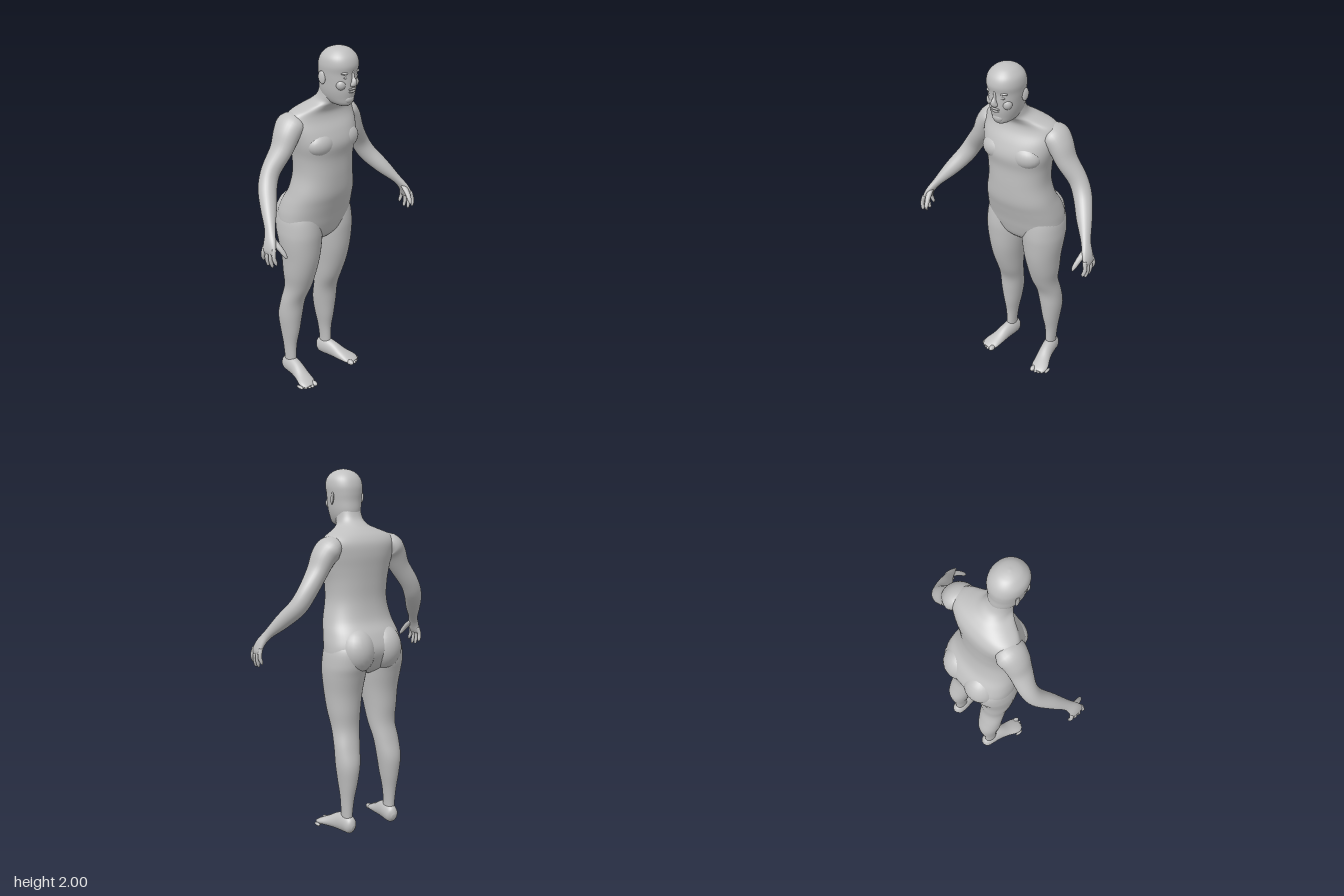
import * as THREE from 'three';

// Catmull-Rom refinement of rows of numbers
function refine(rows, steps) {
  const out = [], n = rows.length;
  for (let i = 0; i < n - 1; i++) {
    const [a, b, c, d] = [rows[Math.max(i - 1, 0)], rows[i], rows[i + 1], rows[Math.min(i + 2, n - 1)]];
    for (let s = 0; s < steps; s++) {
      const t = s / steps;
      out.push(b.map((_, k) => b[k] + 0.5 * t * (c[k] - a[k] + t * (2 * a[k] - 5 * b[k] + 4 * c[k] - d[k]
        + t * (3 * (b[k] - c[k]) + d[k] - a[k])))));
    }
  }
  out.push(rows[n - 1]);
  return out;
}

// Closed smooth skin over a list of rings of points
function skin(rings) {
  const m = rings[0].length, pos = [], idx = [];
  rings.forEach(r => r.forEach(p => pos.push(p.x, Math.max(p.y, 0), p.z)));
  for (let i = 0; i < rings.length - 1; i++) {
    for (let j = 0; j < m; j++) {
      const a = i * m + j, b = i * m + (j + 1) % m;
      idx.push(a, a + m, b, b, a + m, b + m);
    }
  }
  [0, rings.length - 1].forEach((r, end) => {
    const c = new THREE.Vector3();
    rings[r].forEach(p => c.addScaledVector(p, 1 / m));
    const ci = pos.length / 3;
    pos.push(c.x, Math.max(c.y, 0), c.z);
    for (let j = 0; j < m; j++) {
      const a = r * m + j, b = r * m + (j + 1) % m;
      if (end) idx.push(ci, b, a); else idx.push(ci, a, b);
    }
  });
  const g = new THREE.BufferGeometry();
  g.setAttribute('position', new THREE.Float32BufferAttribute(pos, 3));
  g.setIndex(idx);
  g.computeVertexNormals();
  return g;
}

// Upright loft, bottom to top; rows: [y, centre x, half width, front z, back z]
function column(rows, power = 2, m = 40) {
  const sup = v => Math.sign(v) * Math.pow(Math.abs(v), 2 / power);
  return skin(refine(rows, 5).map(([y, cx, hw, zf, zb]) => Array.from({ length: m }, (_, j) => {
    const a = j / m * Math.PI * 2;
    return new THREE.Vector3(cx + hw * sup(Math.cos(a)), y, (zf + zb) / 2 + (zf - zb) / 2 * sup(Math.sin(a)));
  })));
}

// Loft along a path; rows: [x, y, z, radius along ref, radius across]
function limb(rows, ref, m = 24, steps = 5) {
  const r = refine(rows, steps), P = r.map(q => new THREE.Vector3(q[0], q[1], q[2]));
  return skin(r.map((q, i) => {
    const t = P[Math.min(i + 1, P.length - 1)].clone().sub(P[Math.max(i - 1, 0)]).normalize();
    const v = ref.clone().cross(t).normalize(), u = t.clone().cross(v);
    return Array.from({ length: m }, (_, j) => {
      const a = j / m * Math.PI * 2;
      return P[i].clone().addScaledVector(u, q[3] * Math.cos(a)).addScaledVector(v, q[4] * Math.sin(a));
    });
  }));
}

function blob(x, y, z, rx, ry, rz) {
  return new THREE.SphereGeometry(1, 24, 16).scale(rx, ry, rz).translate(x, y, z);
}

function mirrored(geo) {
  const g = geo.clone().scale(-1, 1, 1), ix = g.index.array;
  for (let i = 0; i < ix.length; i += 3) [ix[i], ix[i + 1]] = [ix[i + 1], ix[i]];
  return g;
}

export function createModel() {
  const body = new THREE.Group();
  body.name = 'humanFigure';
  const skinGrey = new THREE.MeshStandardMaterial({ color: 0xc0c0c0 });
  skinGrey.name = 'skinGrey';
  const X = new THREE.Vector3(1, 0, 0), Z = new THREE.Vector3(0, 0, 1);
  const add = (name, geo) => {
    const mesh = new THREE.Mesh(geo, skinGrey);
    mesh.name = name;
    body.add(mesh);
  };
  const pair = (name, geo) => {
    add('left' + name, geo);
    add('right' + name, mirrored(geo));
  };

  // Torso running up into the neck
  add('torso', column([
    [0.90, 0, 0.06, 0.02, -0.12], [0.94, 0, 0.16, 0.055, -0.18], [1.0, 0, 0.222, 0.075, -0.215],
    [1.06, 0, 0.228, 0.09, -0.225], [1.13, 0, 0.217, 0.11, -0.2], [1.2, 0, 0.2, 0.128, -0.158],
    [1.3, 0, 0.178, 0.133, -0.138], [1.4, 0, 0.182, 0.133, -0.138], [1.48, 0, 0.2, 0.143, -0.142],
    [1.55, 0, 0.215, 0.12, -0.146], [1.61, 0, 0.222, 0.085, -0.14], [1.65, 0, 0.2, 0.075, -0.118],
    [1.68, 0, 0.135, 0.09, -0.085], [1.705, 0, 0.085, 0.115, -0.05], [1.74, 0, 0.07, 0.135, -0.012],
    [1.8, 0, 0.065, 0.14, 0.01]], 2.25, 56));
  pair('Buttock', blob(0.088, 1.04, -0.135, 0.105, 0.125, 0.105));
  pair('Pectoral', blob(0.085, 1.485, 0.07, 0.095, 0.07, 0.068));

  // Head and face
  add('head', column([
    [1.695, 0, 0.025, 0.18, 0.1], [1.71, 0, 0.05, 0.198, 0.05], [1.74, 0, 0.068, 0.205, 0.01],
    [1.78, 0, 0.08, 0.212, 0.0], [1.83, 0, 0.087, 0.214, 0.002], [1.87, 0, 0.092, 0.214, 0.0],
    [1.91, 0, 0.096, 0.221, 0.002], [1.95, 0, 0.088, 0.21, 0.017], [1.98, 0, 0.062, 0.182, 0.046],
    [1.994, 0, 0.034, 0.153, 0.08], [2.0, 0, 0.004, 0.12, 0.112]], 2.1));
  add('nose', limb([
    [0, 1.805, 0.21, 0.012, 0.006], [0, 1.815, 0.218, 0.019, 0.014], [0, 1.83, 0.222, 0.014, 0.015],
    [0, 1.85, 0.214, 0.008, 0.012], [0, 1.885, 0.21, 0.007, 0.007]], X, 20));
  add('upperLip', blob(0, 1.79, 0.209, 0.026, 0.006, 0.012));
  add('lowerLip', blob(0, 1.777, 0.207, 0.023, 0.007, 0.012));
  add('chin', blob(0, 1.735, 0.19, 0.032, 0.024, 0.018));
  pair('Eye', blob(0.035, 1.853, 0.199, 0.016, 0.007, 0.008));
  pair('Brow', blob(0.036, 1.876, 0.194, 0.027, 0.009, 0.016));
  pair('Cheek', blob(0.045, 1.815, 0.175, 0.03, 0.03, 0.027));
  pair('Ear', blob(0, 0, 0, 0.008, 0.034, 0.02).rotateY(-0.35).rotateX(-0.15).translate(0.094, 1.845, 0.085));

  // Arms down to the palm
  pair('Arm', limb([
    [0.14, 1.595, -0.045, 0.05, 0.045], [0.19, 1.59, -0.042, 0.086, 0.066], [0.23, 1.55, -0.037, 0.08, 0.064],
    [0.272, 1.47, -0.036, 0.067, 0.054], [0.34, 1.37, -0.045, 0.052, 0.052], [0.387, 1.29, -0.022, 0.05, 0.05],
    [0.442, 1.21, 0.045, 0.042, 0.042], [0.495, 1.135, 0.11, 0.03, 0.024], [0.525, 1.085, 0.14, 0.038, 0.02],
    [0.54, 1.045, 0.15, 0.045, 0.015], [0.542, 1.025, 0.152, 0.036, 0.008]], Z, 28));

  // Fingers: base z, tip z, tip y
  [[0.186, 0.2, 0.975], [0.162, 0.17, 0.953], [0.138, 0.14, 0.955], [0.115, 0.105, 0.975]].forEach(([bz, tz, ty], i) => {
    pair('Finger' + (i + 1), limb([
      [0.537, 1.06, bz, 0.011, 0.011], [0.547, (1.06 + ty) / 2, (bz + tz) / 2, 0.011, 0.011],
      [0.54, ty + 0.012, tz, 0.009, 0.009], [0.537, ty, tz, 0.003, 0.003]], Z, 12, 4));
  });
  pair('Thumb', limb([
    [0.515, 1.095, 0.15, 0.018, 0.014], [0.505, 1.06, 0.19, 0.015, 0.014],
    [0.495, 1.025, 0.218, 0.011, 0.011], [0.491, 1.008, 0.228, 0.004, 0.004]], X, 12, 4));

  // Legs from ankle to hip
  pair('Leg', column([
    [0.03, 0.144, 0.03, -0.085, -0.165], [0.1, 0.147, 0.027, -0.085, -0.165], [0.2, 0.146, 0.035, -0.083, -0.175],
    [0.3, 0.143, 0.051, -0.066, -0.193], [0.4, 0.141, 0.066, -0.055, -0.2], [0.5, 0.134, 0.073, -0.043, -0.177],
    [0.6, 0.123, 0.077, 0.0, -0.156], [0.7, 0.124, 0.09, 0.035, -0.16], [0.8, 0.122, 0.102, 0.058, -0.167],
    [0.9, 0.121, 0.115, 0.068, -0.188], [0.97, 0.12, 0.117, 0.07, -0.205], [1.06, 0.115, 0.107, 0.06, -0.2],
    [1.14, 0.1, 0.07, 0.04, -0.14]], 2.1, 36));

  // Feet turned slightly outward, with toes
  pair('Foot', limb([
    [0.14, 0.04, -0.184, 0.012, 0.015], [0.143, 0.045, -0.165, 0.034, 0.045], [0.147, 0.056, -0.12, 0.04, 0.056],
    [0.155, 0.05, -0.065, 0.04, 0.05], [0.168, 0.034, -0.005, 0.045, 0.034], [0.182, 0.023, 0.045, 0.051, 0.022],
    [0.188, 0.016, 0.075, 0.042, 0.014], [0.19, 0.013, 0.088, 0.026, 0.008]], X, 28));
  for (let i = 0; i < 5; i++) {
    const r = i ? 0.0115 - i * 0.0006 : 0.016;
    pair('Toe' + (i + 1), blob(0.156 + i * 0.0185 + (i ? 0.005 : 0), r, 0.08 - i * i * 0.0022, r, r, 0.026));
  }
  return body;
}
